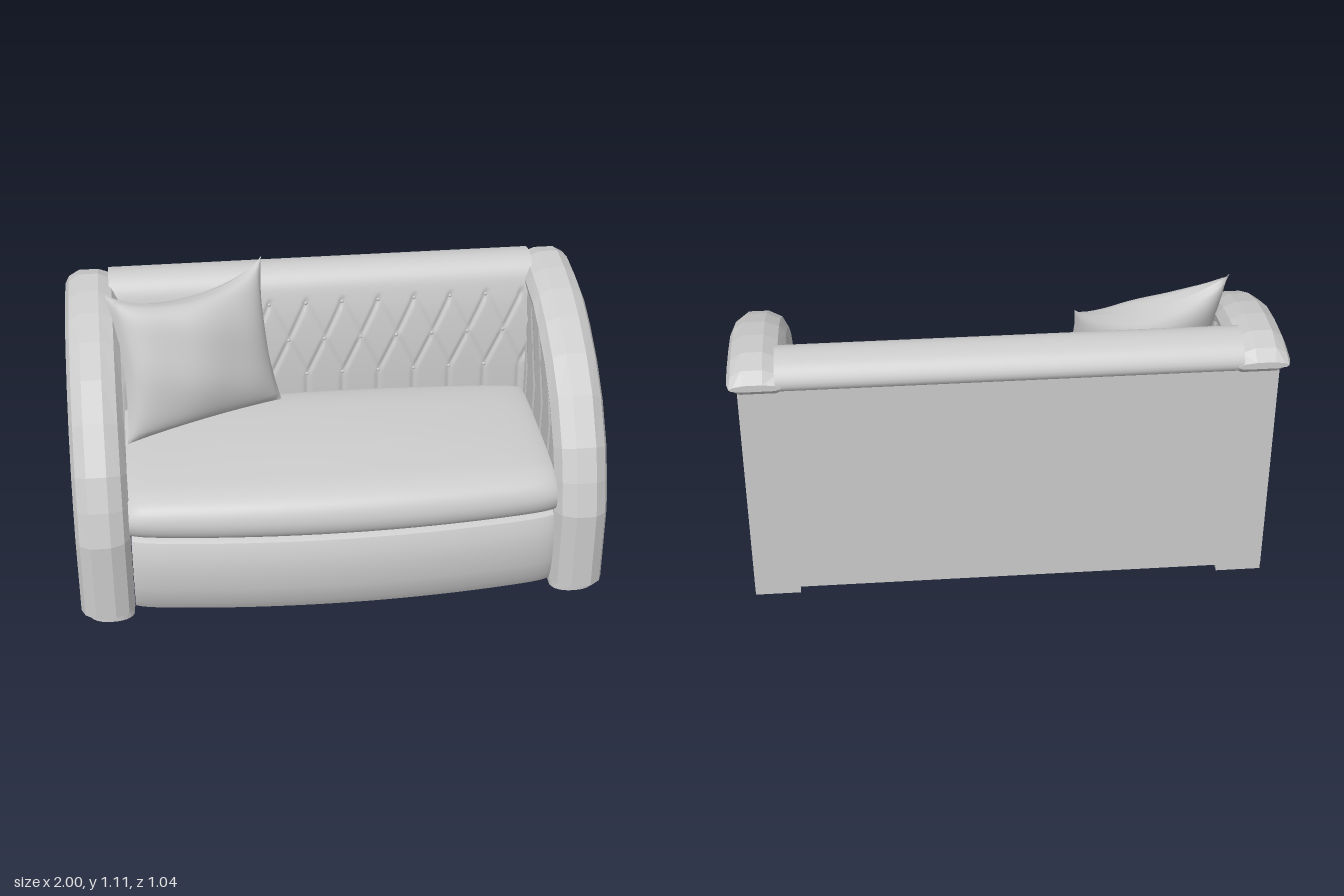
import * as THREE from 'three';
import { toCreasedNormals } from 'three/addons/utils/BufferGeometryUtils.js';

const grey = new THREE.MeshStandardMaterial({ color: 0xcccccc });
const faceted = new THREE.MeshStandardMaterial({ color: 0xcccccc, flatShading: true });
const sheet = new THREE.MeshStandardMaterial({ color: 0xcccccc, side: THREE.DoubleSide });
const lerp = THREE.MathUtils.lerp;

function add(parent, name, geometry, material = grey) {
  const mesh = new THREE.Mesh(geometry, material);
  mesh.name = name;
  parent.add(mesh);
  return mesh;
}

// Closed solid lofted through rings of [x, y, z], with end caps; always wound outwards
function loft(rings, crease) {
  const n = rings[0].length, pos = rings.flat(2), tris = [];
  for (let r = 0; r < rings.length - 1; r++) {
    for (let i = 0; i < n; i++) {
      const a = r * n + i, b = r * n + (i + 1) % n;
      tris.push([a, b, a + n], [b, b + n, a + n]);
    }
  }
  [0, rings.length - 1].forEach((r, end) => {
    const c = pos.length / 3;
    for (let k = 0; k < 3; k++) pos.push(rings[r].reduce((s, p) => s + p[k], 0) / n);
    for (let i = 0; i < n; i++) {
      const a = r * n + i, b = r * n + (i + 1) % n;
      tris.push(end ? [a, b, c] : [b, a, c]);
    }
  });
  const at = (i) => new THREE.Vector3().fromArray(pos, i * 3);
  const volume = tris.reduce((s, [a, b, c]) => s + at(a).dot(at(b).cross(at(c))), 0);
  if (volume < 0) tris.forEach((t) => t.reverse());
  const geo = new THREE.BufferGeometry();
  geo.setAttribute('position', new THREE.Float32BufferAttribute(pos, 3));
  geo.setIndex(tris.flat());
  geo.computeVertexNormals();
  return crease ? toCreasedNormals(geo, crease) : geo;
}

// Open sheet: fn(u, v) gives a point, u and v from 0 to 1
function surface(fn, nu, nv) {
  const geo = new THREE.PlaneGeometry(1, 1, nu, nv), p = geo.attributes.position;
  for (let i = 0; i < p.count; i++) p.setXYZ(i, ...fn(p.getX(i) + 0.5, p.getY(i) + 0.5));
  geo.computeVertexNormals();
  return geo;
}

// Tufting: diamonds between y 0.61 and 0.91, straight pleats below
const STEP = 0.1425;
function tuft(s, y) {
  if (y > 0.915 || y < 0.4) return 0;
  const off = (p) => Math.abs(p - Math.round(p));
  const a = s / STEP, b = (y - 0.76) / 0.3;
  const d = y < 0.61 ? off(a - 0.5) : Math.min(off(a + b), off(a - b));
  return 0.008 * Math.exp(-((d / 0.06) ** 2));
}

// Arm arch: outer z, y and inner z, y from the floor to the back
const arch = [
  [0.485, 0.03, 0.365, 0.03], [0.485, 0.35, 0.365, 0.34], [0.45, 0.48, 0.335, 0.44],
  [0.4, 0.605, 0.29, 0.55], [0.285, 0.765, 0.2, 0.665], [0.15, 0.87, 0.09, 0.765],
  [0, 0.948, -0.04, 0.845], [-0.14, 0.997, -0.13, 0.89], [-0.27, 1.022, -0.27, 0.907],
  [-0.4, 1.03, -0.4, 0.915], [-0.485, 1.008, -0.485, 0.91], [-0.52, 0.968, -0.52, 0.942],
];
// Roll section: x and depth from outer (0) to inner (1)
const rollSection = [
  [0.955, 1], [0.992, 0.8], [1, 0.55], [0.985, 0.25], [0.945, 0],
  [0.87, 0], [0.82, 0.2], [0.797, 0.55], [0.805, 0.85], [0.825, 1],
];
const archPoint = ([zo, yo, zi, yi], d) => [lerp(yo, yi, d), lerp(zo, zi, d)];

// Arch height at a given z, for the inner arm lining
function archHeight(z, d) {
  const pts = arch.slice(1, 11).map((r) => archPoint(r, d));
  for (let i = 0; i < pts.length - 1; i++) {
    const [y0, z0] = pts[i], [y1, z1] = pts[i + 1];
    if (z <= z0 && z >= z1) return lerp(y0, y1, (z0 - z) / (z0 - z1));
  }
  return pts[0][0];
}

function buildArm(side, name) {
  const arm = new THREE.Group();
  arm.name = name;
  const last = arch.length - 1;
  add(arm, 'armRoll', loft(arch.map((row, i) => rollSection.map(([x, d]) => {
    const w = i === last ? 0.9 : 1;
    return [side * (0.9 + (x - 0.9) * w), ...archPoint(row, d)];
  }))), faceted);

  // flat outer panel under the arch
  const outline = [...arch.slice(0, 11).map((r) => archPoint(r, 0.85)), [0.03, -0.485]];
  add(arm, 'outerPanel', loft([0.93, 0.965].map((x) => outline.map(([y, z]) => [side * x, y, z]))), faceted);

  // tufted inner lining
  add(arm, 'innerLining', surface((u, v) => {
    const z = lerp(-0.3, 0.385, u), y = lerp(0.03, archHeight(z, 0.7), v);
    return [side * (0.808 + tuft(z, y)), y, z];
  }, 96, 48), sheet);

  // front foot with a rounded nose, rear foot square
  const foot = new THREE.Shape();
  foot.moveTo(-0.085, 0).lineTo(0.085, 0).lineTo(0.085, 0.05);
  foot.quadraticCurveTo(0.07, 0.097, 0, 0.097).quadraticCurveTo(-0.07, 0.097, -0.085, 0.05);
  const footGeo = new THREE.ExtrudeGeometry(foot, { depth: 0.035, bevelEnabled: false, curveSegments: 6 });
  footGeo.rotateX(Math.PI / 2);
  add(arm, 'frontFoot', footGeo, faceted).position.set(side * 0.885, 0.035, 0.37);
  add(arm, 'rearFoot', new THREE.BoxGeometry(0.17, 0.035, 0.082), faceted).position.set(side * 0.88, 0.0175, -0.441);
  return arm;
}

// Cushion across the seat: section [y, z, domeAmount, bowAmount], bowed at the front
function crossCushion(section, half, smooth) {
  const rings = [];
  for (let i = 0; i <= 28; i++) {
    const t = -Math.cos((i / 28) * Math.PI), bow = t * t;
    const pinch = 0.012 * Math.pow(Math.abs(t), 24);
    const pts = section.map(([y, z, dome, b]) =>
      new THREE.Vector3(t * half, y + dome * (1 - bow) - Math.sign(dome) * pinch, z - b * (0.06 * bow + pinch)));
    const ring = smooth ? new THREE.CatmullRomCurve3(pts, true, 'centripetal').getPoints(44).slice(0, -1) : pts;
    rings.push(ring.map((p) => p.toArray()));
  }
  return loft(rings, 0.7);
}

// Throw pillow stretched between four corners
function buildPillow() {
  const tl = new THREE.Vector3(-0.845, 1.095, -0.1), tr = new THREE.Vector3(-0.24, 1.105, -0.33);
  const bl = new THREE.Vector3(-0.79, 0.53, 0.06), br = new THREE.Vector3(-0.18, 0.545, -0.185);
  const right = tr.clone().sub(tl).normalize(), up = tl.clone().sub(bl).normalize();
  const normal = right.clone().cross(up).normalize();
  const face = (sign) => surface((u, v) => {
    const s = 2 * u - 1, t = 2 * v - 1, es = 1 - s * s, et = 1 - t * t;
    const p = bl.clone().lerp(br, u).lerp(tl.clone().lerp(tr, u), v);
    p.addScaledVector(up, -(t > 0 ? 0.095 : -0.012) * Math.abs(t) ** 3 * Math.pow(es, 0.8));
    p.addScaledVector(right, -s * s * s * 0.03 * et);
    const crumple = 0.006 * Math.sin(5 * s + 3 * t) * Math.sin(4 * t - 2 * s);
    p.addScaledVector(normal, sign * (0.115 + crumple) * Math.pow(Math.max(es * et, 0), 0.5));
    return p.toArray();
  }, 36, 36);
  const pillow = new THREE.Group();
  pillow.name = 'throwPillow';
  add(pillow, 'pillowFront', face(1), sheet);
  add(pillow, 'pillowBack', face(-1), sheet);
  return pillow;
}

export function createModel() {
  const sofa = new THREE.Group();
  sofa.name = 'sofa';
  sofa.add(buildArm(1, 'leftArm'), buildArm(-1, 'rightArm'));

  add(sofa, 'seatBase', crossCushion([
    [0.03, -0.3, 0, 0], [0.35, -0.3, 0, 0], [0.35, 0.47, 0, 1], [0.335, 0.5, 0, 1], [0.29, 0.517, 0, 1],
    [0.22, 0.525, 0, 1], [0.14, 0.522, 0, 1], [0.07, 0.507, 0, 1], [0.03, 0.485, 0, 1],
  ], 0.795, false));
  add(sofa, 'seatCushion', crossCushion([
    [0.36, -0.28, 0, 0], [0.49, -0.28, 0.02, 0], [0.508, -0.2, 0.035, 0], [0.515, 0.05, 0.04, 0],
    [0.51, 0.3, 0.03, 0.3], [0.5, 0.43, 0.02, 1], [0.472, 0.493, 0.01, 1], [0.42, 0.517, 0, 1],
    [0.37, 0.505, 0, 1], [0.348, 0.47, 0, 1],
  ], 0.8, true));

  // tufted back rolling over the top to the rear
  const profile = new THREE.CatmullRomCurve3([
    [0.03, -0.27], [0.45, -0.255], [0.65, -0.258], [0.8, -0.27], [0.91, -0.288], [0.99, -0.315], [1.03, -0.36],
    [1.036, -0.42], [1.012, -0.485], [0.96, -0.518], [0.93, -0.505], [0.925, -0.475],
  ].map(([y, z]) => new THREE.Vector3(0, y, z)), false, 'centripetal');
  const rows = profile.getSpacedPoints(90);
  add(sofa, 'tuftedBack', surface((u, v) => {
    const p = rows[Math.round(v * 90)], x = lerp(-0.83, 0.83, u);
    return [x, p.y, p.z - (p.z > -0.4 ? tuft(x, p.y) : 0)];
  }, 233, 90), sheet);

  // buttons at the diamond corners
  const button = new THREE.SphereGeometry(0.007, 8, 6);
  [[0.91, 0.5, -0.292], [0.76, 0, -0.27], [0.61, 0.5, -0.262]].forEach(([y, shift, z]) => {
    for (let k = -5; k <= 5; k++) {
      const x = (k + shift) * STEP;
      if (Math.abs(x) < 0.75) add(sofa, 'button', button).position.set(x, y, z);
    }
  });

  // flat rear panel
  add(sofa, 'rearPanel', new THREE.BoxGeometry(1.93, 0.91, 0.03), faceted).position.set(0, 0.485, -0.47);

  sofa.add(buildPillow());
  return sofa;
}
